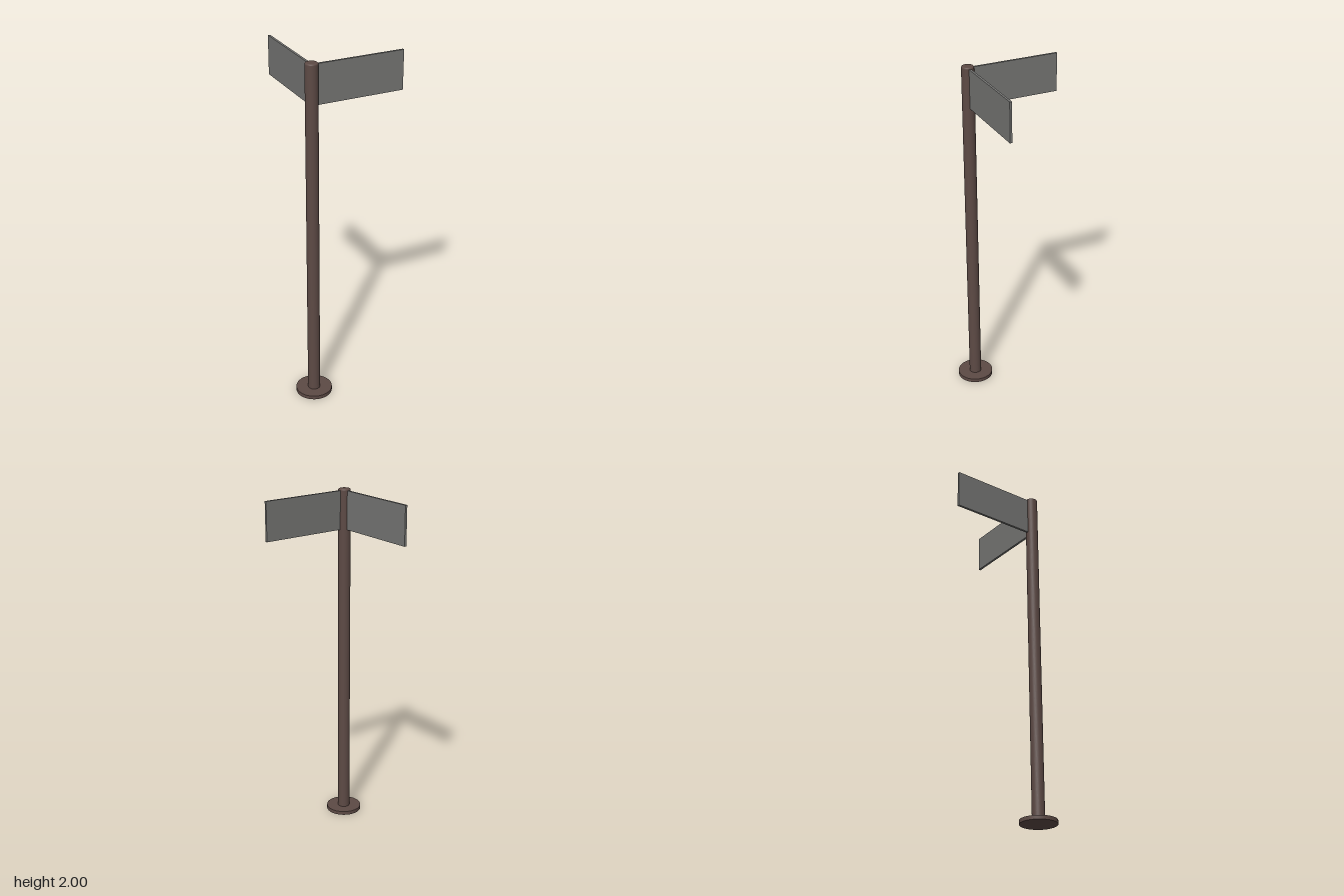
import * as THREE from 'three';

const POST_X = -0.214, POST_Z = 0.214;
const POST_R = 0.035, BASE_R = 0.103, REACH = 0.317 - POST_X;

export function createModel() {
  const model = new THREE.Group();
  model.name = 'signpost';
  model.position.set(POST_X, 0, POST_Z);
  const root = new THREE.Group();
  root.add(model);

  const brown = new THREE.MeshStandardMaterial({ color: 0x5d4a45 });
  const grey = new THREE.MeshStandardMaterial({ color: 0x757573 });

  const add = (name, geometry, material) => {
    const mesh = new THREE.Mesh(geometry, material);
    mesh.name = name;
    model.add(mesh);
    return mesh;
  };

  // round foot plate
  add('basePlate', new THREE.CylinderGeometry(BASE_R, BASE_R, 0.022, 64).translate(0, 0.011, 0), brown);

  // post with a small rounded edge at the top
  const fillet = 0.008;
  const profile = [new THREE.Vector2(POST_R, 0.01), new THREE.Vector2(POST_R, 1.99)];
  for (let i = 0; i <= 5; i++) {
    const a = (i / 5) * Math.PI / 2;
    profile.push(new THREE.Vector2(
      POST_R - fillet + fillet * Math.cos(a),
      2 - fillet + fillet * Math.sin(a)));
  }
  profile.push(new THREE.Vector2(POST_R - fillet - 0.001, 2), new THREE.Vector2(0, 2));
  add('post', new THREE.LatheGeometry(profile, 48), brown);

  // two sign boards at a right angle, one to +x and one to -z
  const inner = POST_R - 0.005;
  const board = new THREE.BoxGeometry(REACH - inner, 0.222, 0.013)
    .translate((REACH + inner) / 2, 1.88, 0);
  add('sideSign', board, grey);
  add('backSign', board, grey).rotation.y = Math.PI / 2;

  return root;
}
